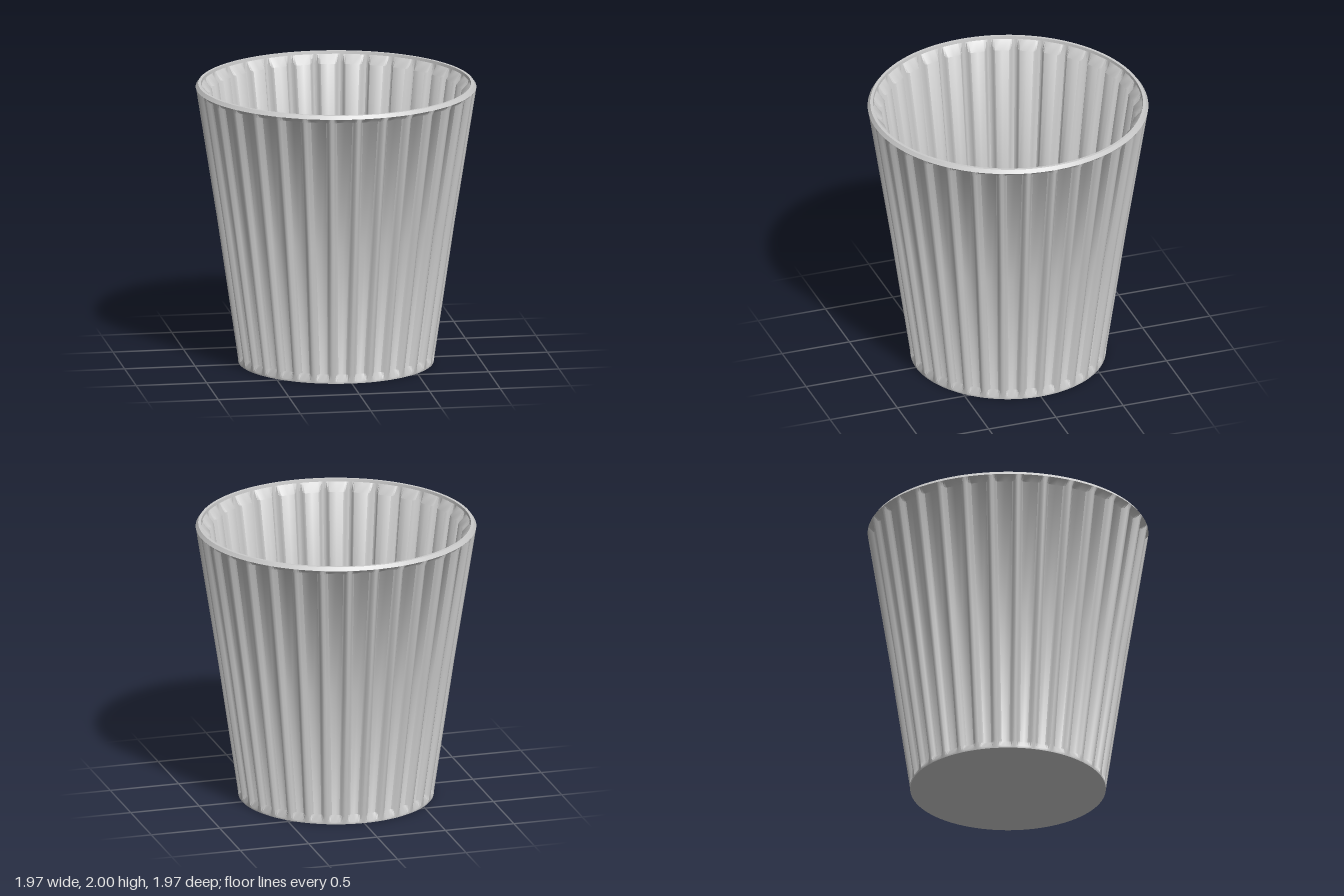
import * as THREE from 'three';
import { toCreasedNormals } from 'three/addons/utils/BufferGeometryUtils.js';

const FLUTES = 32;
const STEP = (Math.PI * 2) / FLUTES;

// Angles around one ring: narrow ridge of constant width, steep sides, broad sunken panel.
// Each sample is [angle, sink], sink 0 on the ridge and 1 on the panel.
function ringSamples(radius) {
  const r = Math.max(radius, 0.6);
  const a = 0.014 / r, b = 0.027 / r, c = 0.04 / r;
  const half = [[0, 0], [a, 0.12], [b, 0.65], [c, 0.95], [STEP / 2, 1]];
  const one = [...half, ...half.slice(1, 4).reverse().map(([t, s]) => [STEP - t, s])];
  const out = [];
  for (let k = 0; k < FLUTES; k++) for (const [t, s] of one) out.push([k * STEP + t, s]);
  return out;
}

// Skin through a list of rings [radius, y, flute depth], outside facing when going upward.
function flutedSkin(rings) {
  const pos = [], index = [];
  let n = 0;
  for (const [radius, y, depth] of rings) {
    const samples = ringSamples(radius);
    n = samples.length;
    for (const [t, sink] of samples) {
      const r = Math.max(radius - depth * sink, 0);
      pos.push(r * Math.sin(t), y, r * Math.cos(t));
    }
  }
  for (let i = 0; i < rings.length - 1; i++) {
    for (let j = 0; j < n; j++) {
      const k = (j + 1) % n;
      const a = i * n + j, b = i * n + k, c = a + n, d = b + n;
      if (rings[i][0] > 0) index.push(a, b, d);
      if (rings[i + 1][0] > 0) index.push(a, d, c);
      else if (rings[i][0] > 0) continue;
    }
  }
  const g = new THREE.BufferGeometry();
  g.setAttribute('position', new THREE.Float32BufferAttribute(pos, 3));
  g.setIndex(index);
  return toCreasedNormals(g, 0.85);
}

export function createModel() {
  const group = new THREE.Group();
  group.name = 'flutedCup';
  const material = new THREE.MeshStandardMaterial({ color: 0xcccccc });

  const parts = {
    // flat underside
    base: [[0, 0, 0], [0.685, 0, 0]],
    // tapering outside, flutes fading out at both ends
    outerWall: [[0.685, 0, 0], [0.687, 0.015, 0], [0.693, 0.06, 0.04],
      [0.83, 1, 0.045], [0.978, 1.94, 0.045], [0.983, 1.975, 0]],
    // bevelled lip
    rim: [[0.983, 1.975, 0], [0.965, 2, 0], [0.945, 2, 0], [0.942, 1.98, 0]],
    // inside wall echoing the flutes
    innerWall: [[0.942, 1.98, 0], [0.937, 1.92, 0.055], [0.8, 1, 0.055], [0.655, 0.06, 0.055]],
    // inside bottom
    floor: [[0.655, 0.06, 0.055], [0, 0.06, 0]],
  };
  for (const [name, rings] of Object.entries(parts)) {
    const mesh = new THREE.Mesh(flutedSkin(rings), material);
    mesh.name = name;
    group.add(mesh);
  }
  return group;
}
